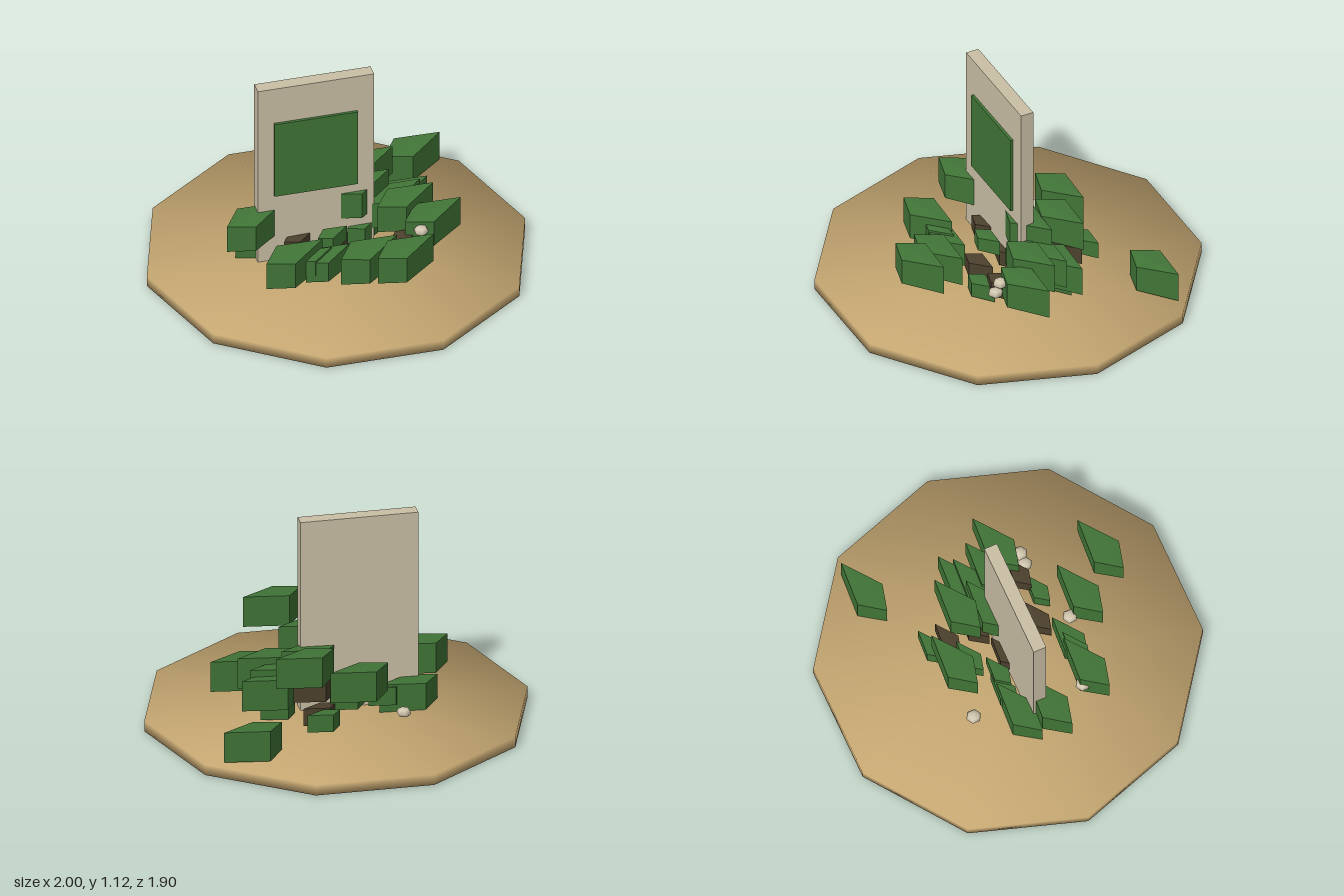
import * as THREE from 'three';

const mat = (name, color) => Object.assign(new THREE.MeshStandardMaterial({ color }), { name });

export function createModel() {
  const sand = mat('sand', 0xc4a671);
  const stone = mat('stone', 0xcbc0a6);
  const green = mat('green', 0x417537);
  const brown = mat('brown', 0x4d412e);
  const pebbleMat = mat('pebble', 0xd3c8b0);

  const model = new THREE.Group();
  const add = (name, geometry, material, x = 0, y = 0, z = 0, s = 1) => {
    const mesh = new THREE.Mesh(geometry, material);
    mesh.name = name;
    mesh.position.set(x, y, z);
    mesh.scale.setScalar(s);
    model.add(mesh);
    return mesh;
  };

  // Ten-sided ground disc with soft rim normals
  const disc = new THREE.CylinderGeometry(1, 1, 0.058, 10);
  disc.rotateY(Math.PI / 2);
  const p = disc.attributes.position;
  const n = new THREE.Vector3();
  for (let i = 0; i < p.count; i++) {
    n.set(p.getX(i), Math.sign(p.getY(i)), p.getZ(i)).normalize();
    disc.attributes.normal.setXYZ(i, n.x, n.y, n.z);
  }
  add('ground', disc, sand, 0, 0.031, 0);

  // Upright slab with a raised green panel
  add('slab', new THREE.BoxGeometry(0.615, 1.115, 0.07), stone, -0.1125, 0.5575, -0.01);
  add('panel', new THREE.BoxGeometry(0.44, 0.445, 0.015), green, -0.115, 0.6825, 0.0325);

  // Skewed block: left, front, right and back corners as [x, z, bottom, top]
  const corners = [
    [0, 0, 0, 0.155], [0.143, 0.037, 0.005, 0.152],
    [0.325, -0.112, 0.008, 0.175], [0.087, -0.127, 0, 0.167],
  ];
  const box = new THREE.BoxGeometry(1, 1, 1);
  const q = box.attributes.position;
  for (let i = 0; i < q.count; i++) {
    const right = q.getX(i) > 0, front = q.getZ(i) > 0;
    const c = corners[front ? (right ? 1 : 0) : (right ? 2 : 3)];
    q.setXYZ(i, c[0], q.getY(i) > 0 ? c[3] : c[2], c[1]);
  }
  const block = box.toNonIndexed();
  block.computeVertexNormals();

  // Large leaf blocks: left corner x, bottom y, left corner z
  [
    [0.39, 0.065, -0.5], [-0.215, 0.235, -0.265], [-0.52, 0.04, -0.04],
    [-0.6, 0.2, 0.09], [-0.465, 0.125, 0.36], [-0.105, 0.17, 0.485],
    [0.04, 0.27, 0.665], [0.04, 0.28, -0.135], [0.2, 0.13, -0.045],
    [0.145, 0.16, 0.015], [0.19, 0.19, 0.105], [0.31, 0.14, 0.2],
    [-0.02, 0.25, 0.015],
  ].forEach(([x, y, z]) => add('leafBlock', block, green, x, y, z));

  // Small leaf blocks
  [
    [-0.23, 0.14, -0.085, 0.55], [-0.33, 0.1, -0.09, 0.6], [-0.11, 0.14, -0.185, 0.6],
    [0.05, 0.095, -0.335, 0.57], [-0.13, 0.14, 0.125, 0.52], [0.12, 0.07, 0.29, 0.55],
    [-0.25, 0.11, 0.335, 0.78], [-0.29, 0.15, 0.33, 0.6], [0.23, 0.07, -0.08, 0.6],
    [0.05, 0.1, 0.04, 0.6],
  ].forEach(([x, y, z, s]) => add('smallLeafBlock', block, green, x, y, z, s));

  // Brown undergrowth blocks
  [
    [0.05, 0.09, -0.24, 0.57], [-0.29, 0.1, 0.06, 0.55], [-0.03, 0.08, 0.23, 0.57],
    [0.22, 0.12, 0.23, 0.57], [-0.14, 0.1, -0.01, 0.57], [0.03, 0.16, -0.09, 0.7],
    [-0.06, 0.07, 0.04, 0.57],
  ].forEach(([x, y, z, s]) => add('brownBlock', block, brown, x, y, z, s));

  // Flattened pebbles
  const pebble = new THREE.SphereGeometry(0.04, 6, 4);
  pebble.scale(1, 0.62, 1);
  [
    [0.385, 0.255, 0.24], [0.35, 0.175, 0.25], [-0.015, 0.205, 0.34],
    [-0.375, 0.2, 0.25], [-0.285, 0.13, -0.32],
  ].forEach(([x, y, z]) => { add('pebble', pebble, pebbleMat, x, y, z).rotation.y = Math.PI / 6; });

  return model;
}
